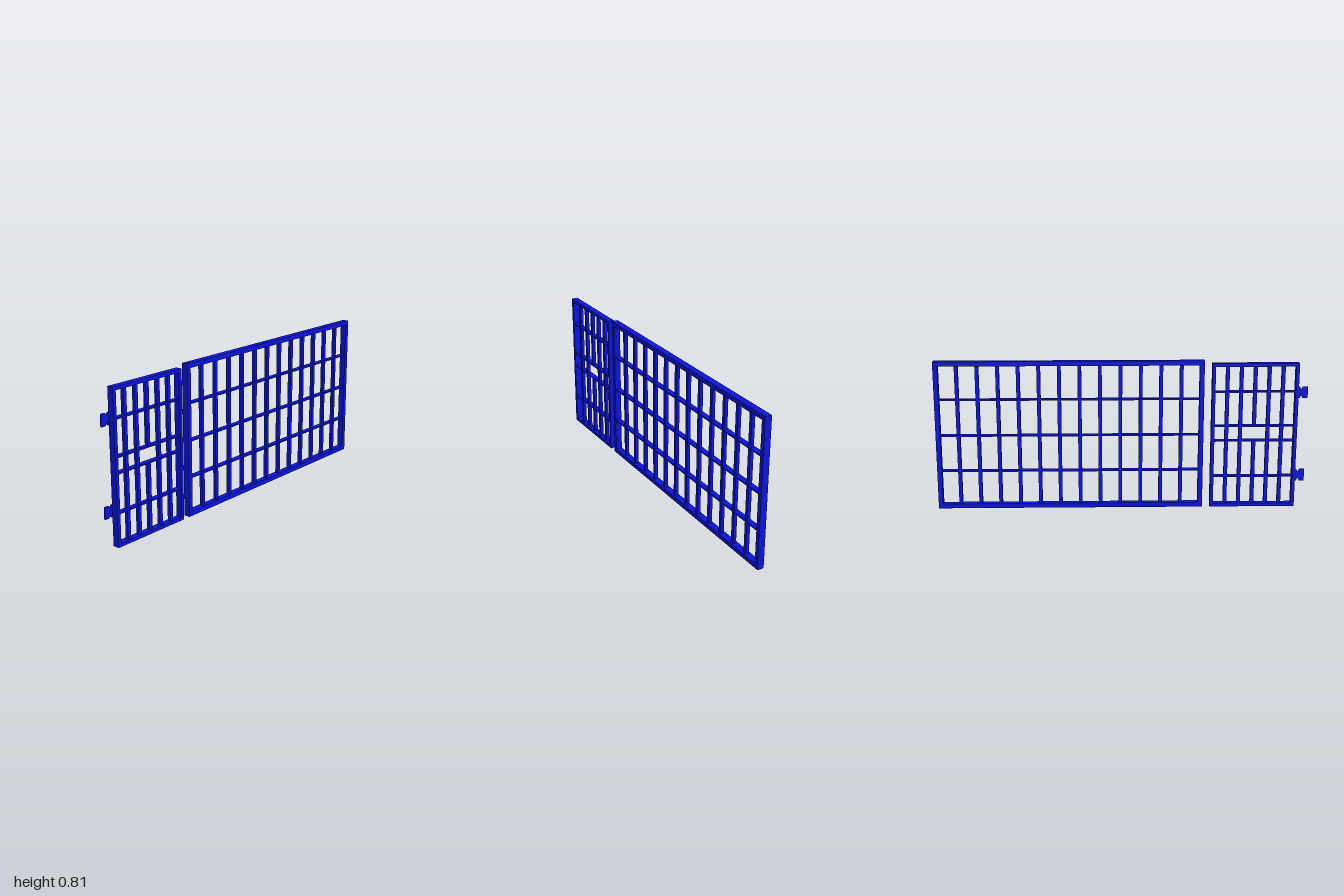
import * as THREE from 'three';

const paint = new THREE.MeshStandardMaterial({ color: 0x0a14d8 });
const X = 0.003; // middle plane of the panels

function box(parent, name, w, h, d, x, y, z) {
  const mesh = new THREE.Mesh(new THREE.BoxGeometry(w, h, d), paint);
  mesh.name = name;
  mesh.position.set(x, y, z);
  parent.add(mesh);
}

// Frame with evenly spaced upright bars and flat cross rails, from z0 to z1.
// An optional window [bar index, bottom, top] interrupts one bar.
function gridPanel(name, { z0, z1, height, edge, depth, bars, rails, window }) {
  const panel = new THREE.Group();
  panel.name = name;
  const length = z1 - z0, mid = (z0 + z1) / 2;

  // outer frame
  for (const z of [z0 + edge / 2, z1 - edge / 2])
    box(panel, 'framePost', depth, height, edge, X, height / 2, z);
  for (const y of [edge / 2, height - edge / 2])
    box(panel, 'frameBeam', depth, edge, length - 2 * edge, X, y, mid);

  // upright bars
  const first = z0 + edge / 2, step = (length - edge) / (bars + 1);
  for (let i = 1; i <= bars; i++) {
    const spans = window && window[0] === i
      ? [[edge, window[1]], [window[2], height - edge]]
      : [[edge, height - edge]];
    for (const [a, b] of spans)
      box(panel, 'uprightBar', 0.018, b - a, 0.02, X, (a + b) / 2, first + i * step);
  }

  // flat cross rails
  for (const y of rails)
    box(panel, 'crossRail', 0.03, 0.008, length - 2 * edge, X, y, mid);
  return panel;
}

// Flat hinge leaf with a narrowed waist where it meets the door post
function hinge(y) {
  const s = new THREE.Shape();
  const top = [[0.937, 0.032], [0.957, 0.032], [0.965, 0.016], [0.973, 0.032], [1, 0.032]];
  const outline = [...top, ...top.map(([z, h]) => [z, -h]).reverse()];
  s.setFromPoints(outline.map(([z, h]) => new THREE.Vector2(-z, h)));
  const geo = new THREE.ExtrudeGeometry(s, { depth: 0.007, bevelEnabled: false });
  geo.rotateY(Math.PI / 2);
  const mesh = new THREE.Mesh(geo, paint);
  mesh.name = 'hinge';
  mesh.position.set(-0.022, y, 0);
  return mesh;
}

export function createModel() {
  const model = new THREE.Group();
  model.name = 'barredGate';

  model.add(gridPanel('fixedPanel', {
    z0: -1, z1: 0.445, height: 0.815, edge: 0.025, depth: 0.036,
    bars: 12, rails: [0.21, 0.408, 0.606],
  }));

  const door = gridPanel('door', {
    z0: 0.487, z1: 0.953, height: 0.8, edge: 0.018, depth: 0.036,
    bars: 5, rails: [0.172, 0.373, 0.455, 0.644], window: [3, 0.373, 0.455],
  });
  door.add(hinge(0.182), hinge(0.643));
  model.add(door);
  return model;
}
